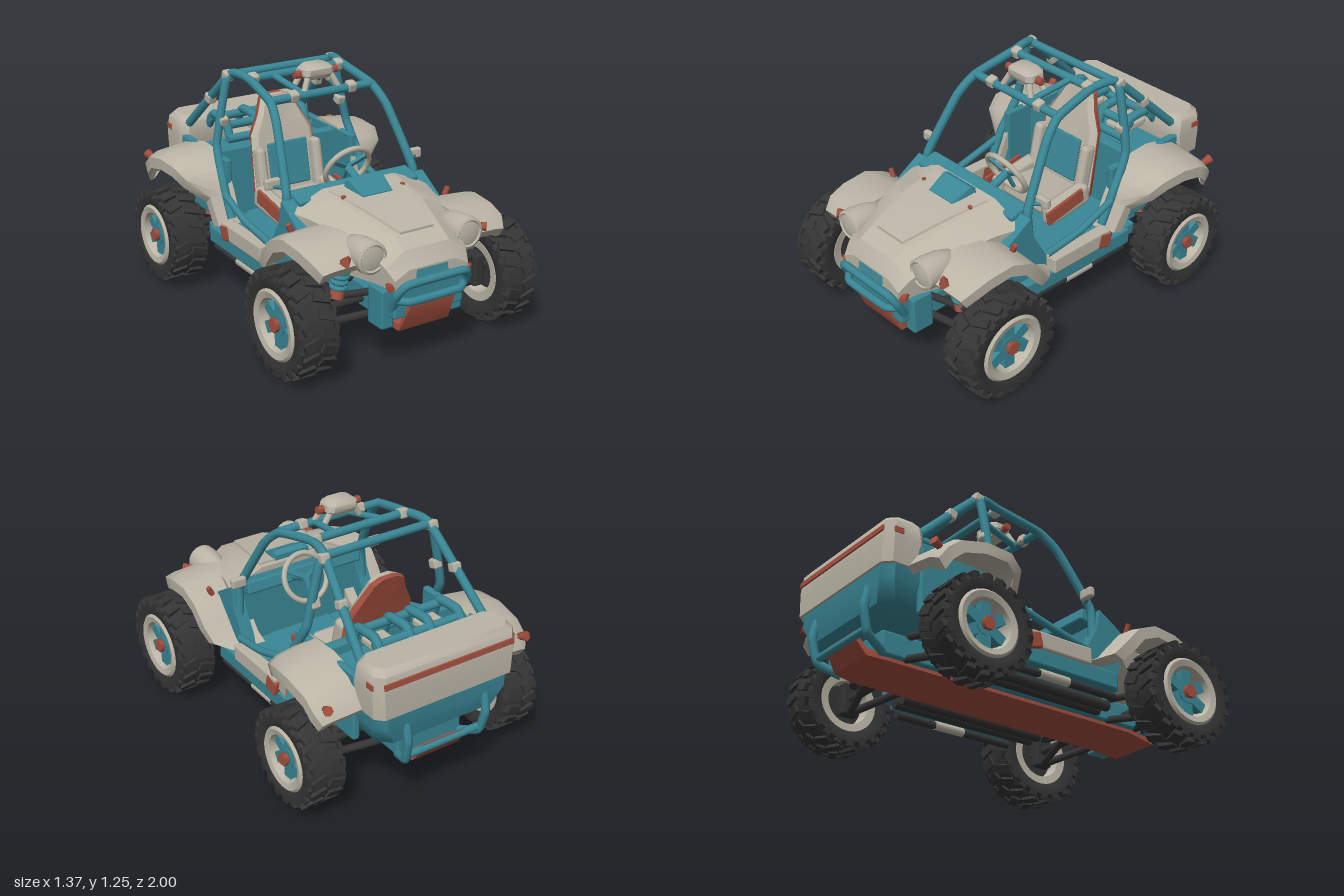
import * as THREE from 'three';
import { mergeGeometries, toCreasedNormals } from 'three/addons/utils/BufferGeometryUtils.js';
import { RoundedBoxGeometry } from 'three/addons/geometries/RoundedBoxGeometry.js';

const paint = (name, hex) => { const m = new THREE.MeshStandardMaterial({ color: hex }); m.name = name; return m; };

export function createModel() {
  const cream = paint('cream', 0xbbb5a6), teal = paint('teal', 0x3a8796);
  const red = paint('red', 0xa4503f), dark = paint('dark', 0x353535);
  const model = new THREE.Group();
  model.name = 'buggy';

  // ---- helpers ----
  const V = (p) => new THREE.Vector3(...p);
  const sides = (fn) => [1, -1].forEach(fn);
  const add = (name, geo, mat, pos = [0, 0, 0], rot = [0, 0, 0], parent = model) => {
    const m = new THREE.Mesh(geo, mat);
    m.name = name; m.position.set(...pos); m.rotation.set(...rot);
    parent.add(m);
    return m;
  };
  const box = (name, mat, size, pos, rot, r = 0.012) =>
    add(name, new RoundedBoxGeometry(...size, 1, Math.min(r, Math.min(...size) * 0.45)), mat, pos, rot);
  const tube = (name, mat, pts, r = 0.02) =>
    add(name, new THREE.TubeGeometry(new THREE.CatmullRomCurve3(pts.map(V), false, 'catmullrom', 0.2), pts.length * 7, r, 8), mat);
  const rod = (name, mat, a, b, r, r2 = r, n = 10) => {
    const A = V(a), B = V(b), m = add(name, new THREE.CylinderGeometry(r2, r, A.distanceTo(B), n), mat);
    m.position.copy(A).lerp(B, 0.5);
    m.quaternion.setFromUnitVectors(new THREE.Vector3(0, 1, 0), B.sub(A).normalize());
  };
  // Closed skin through equal-length rings of points, capped at both ends and turned outward
  const loft = (name, mat, rings, crease = 0.6) => {
    const n = rings[0].length, tris = [];
    const mid = (r) => r.reduce((s, p) => s.map((v, k) => v + p[k] / n), [0, 0, 0]);
    const last = rings[rings.length - 1], c0 = mid(rings[0]), c1 = mid(last);
    for (let j = 0; j < n; j++) {
      const k = (j + 1) % n;
      for (let i = 0; i < rings.length - 1; i++) {
        const a = rings[i], b = rings[i + 1];
        tris.push([a[j], b[j], b[k]], [a[j], b[k], a[k]]);
      }
      tris.push([c0, rings[0][j], rings[0][k]], [c1, last[k], last[j]]);
    }
    const volume = tris.reduce((s, [a, b, c]) => s + V(a).dot(V(b).cross(V(c))), 0);
    if (volume < 0) tris.forEach((t) => t.reverse());
    const g = new THREE.BufferGeometry();
    g.setAttribute('position', new THREE.Float32BufferAttribute(tris.flat(2), 3));
    return add(name, toCreasedNormals(g, crease), mat);
  };
  // Horizontal chamfered rectangle and upright mirrored section, used as loft rings
  const slab = ([y, hx, z0, z1, c]) => [[hx - c, y, z0], [hx, y, z0 + c], [hx, y, z1 - c], [hx - c, y, z1],
    [c - hx, y, z1], [-hx, y, z1 - c], [-hx, y, z0 + c], [c - hx, y, z0]];
  const frame = ([z, ...half]) => [...half.map(([x, y]) => [x, y, z]), ...half.map(([x, y]) => [-x, y, z]).reverse()];

  // ---- wheels ----
  const lathe = (pts, n) => toCreasedNormals(new THREE.LatheGeometry(pts.map((p) => new THREE.Vector2(...p)), n), 0.6).rotateZ(-Math.PI / 2);
  const tireGeo = lathe([[0.165, -0.085], [0.205, -0.1], [0.235, -0.1], [0.257, -0.075], [0.262, 0], [0.257, 0.075],
    [0.235, 0.1], [0.205, 0.1], [0.165, 0.085]], 36);
  const rimGeo = lathe([[0.118, 0], [0.125, -0.085], [0.17, -0.09], [0.175, 0], [0.18, 0.092], [0.167, 0.103],
    [0.135, 0.095], [0.124, 0.06], [0.118, 0]], 32);
  const blocks = [];
  for (let i = 0; i < 20; i++) sides((s) => {
    const a = ((i + (s > 0 ? 0 : 0.5)) / 20) * Math.PI * 2;
    blocks.push(new THREE.BoxGeometry(0.026, 0.085, 0.045).rotateX(s * 0.35).translate(0.262, s * 0.046, 0).rotateY(a),
      new THREE.BoxGeometry(0.04, 0.016, 0.04).translate(0.24, s * 0.094, 0).rotateY(a + 0.08));
  });
  const treadGeo = mergeGeometries(blocks).rotateZ(-Math.PI / 2);
  const wheel = (name, s, y, z, sy, sz) => {
    const g = new THREE.Group();
    g.name = name; g.position.set(s * 0.583, y, z);
    g.rotation.y = s > 0 ? 0 : Math.PI;
    g.scale.set(1, sy, sz);
    add('tire', tireGeo, dark, undefined, undefined, g);
    add('tread', treadGeo, dark, undefined, undefined, g);
    add('rim', rimGeo, cream, undefined, undefined, g);
    add('brakeDisc', new THREE.CylinderGeometry(0.122, 0.122, 0.03, 24).rotateZ(Math.PI / 2), dark, undefined, undefined, g);
    for (let i = 0; i < 6; i++)
      add('spoke', new THREE.BoxGeometry(0.04, 0.1, 0.06).translate(0.05, 0.075, 0), teal, undefined, [i * Math.PI / 3, 0, 0], g);
    add('hub', new THREE.CylinderGeometry(0.05, 0.06, 0.06, 12).rotateZ(Math.PI / 2), teal, [0.045, 0, 0], undefined, g);
    add('hubCap', new THREE.CylinderGeometry(0.034, 0.038, 0.03, 6).rotateZ(Math.PI / 2), red, [0.085, 0, 0], undefined, g);
    model.add(g);
  };
  sides((s) => { wheel('frontWheel', s, 0.27, 0.645, 0.97, 1.01); wheel('rearWheel', s, 0.276, -0.605, 0.91, 0.925); });

  // ---- chassis, skid plate and tub ----
  loft('skidPlate', red, [[0.955, 0.34, 0.13], [0.89, 0.2, 0.145], [0.7, 0.222, 0.16], [-0.8, 0.222, 0.16], [-0.9, 0.23, 0.14], [-0.955, 0.31, 0.12]]
    .map(([z, y, x]) => frame([z, [x, y], [x, y + 0.035]])));
  box('chassis', teal, [0.38, 0.12, 1.7], [0, 0.3, 0]);
  box('floor', teal, [0.86, 0.07, 0.85], [0, 0.32, -0.03]);
  box('bulkhead', teal, [0.76, 0.4, 0.06], [0, 0.53, -0.49]);
  box('firewall', teal, [0.76, 0.33, 0.07], [0, 0.495, 0.33]);
  box('dashboard', teal, [0.7, 0.07, 0.12], [0, 0.69, 0.29], [0.25, 0, 0]);
  sides((s) => {
    box('rocker', teal, [0.09, 0.09, 0.74], [s * 0.42, 0.32, -0.01]);
    box('sillPanel', cream, [0.07, 0.09, 0.4], [s * 0.445, 0.4, -0.02]);
    box('sillAccent', red, [0.075, 0.085, 0.09], [s * 0.446, 0.39, -0.18], [-0.25, 0, 0]);
    loft('cowlSide', teal, [0.35, 0.42].map((x) => [[0.5, 0.56], [0.42, 0.63], [0.29, 0.71], [0.27, 0.6], [0.19, 0.46], [0.15, 0.3], [0.38, 0.3], [0.42, 0.45]]
      .map(([z, y]) => [s * x, y, z])));
    tube('doorBar', teal, [[s * 0.43, 0.46, 0.19], [s * 0.44, 0.5, -0.03], [s * 0.43, 0.57, -0.26]], 0.019);
    rod('stepBar', dark, [s * 0.43, 0.245, 0.36], [s * 0.43, 0.245, -0.36], 0.02);
    rod('stepGrip', cream, [s * 0.43, 0.247, 0.06], [s * 0.43, 0.247, -0.12], 0.024);
    [0.24, 0.31].forEach((x) => rod('underPipe', dark, [s * x, 0.25, 0.42], [s * x, 0.25, -0.45], 0.028));
  });

  // ---- hood and nose ----
  loft('hood', cream, [[0.33, 0.21, 0.745, 0.4, 0.665, 0.4], [0.46, 0.2, 0.73, 0.36, 0.66, 0.35], [0.6, 0.19, 0.705, 0.33, 0.645, 0.31], [0.83, 0.13, 0.65, 0.25, 0.58, 0.23],
    [0.9, 0.13, 0.61, 0.23, 0.54, 0.22], [0.945, 0.13, 0.53, 0.21, 0.49, 0.2]]
    .map(([z, x1, y1, x2, y2, x3]) => frame([z, [x1, y1], [x2, y2], [x3, z < 0.5 ? 0.58 : 0.44]])), 0.4);
  loft('hoodPanel', cream, [[0.37, 0.21, 0.7, 0.748], [0.6, 0.16, 0.67, 0.717], [0.82, 0.105, 0.62, 0.665]]
    .map(([z, x, y0, y1]) => frame([z, [x, y0], [x - 0.012, y1]])), 0.4);
  loft('hoodScoop', teal, [[0.5, 0.095, 0.7, 0.735], [0.39, 0.11, 0.7, 0.785], [0.36, 0.11, 0.7, 0.77]]
    .map(([z, x, y0, y1]) => frame([z, [x, y0], [x - 0.01, y1]])), 0.4);
  box('grilleSlot', teal, [0.18, 0.05, 0.009], [0, 0.5, 0.945], [-0.2, 0, 0]);
  box('noseFrame', teal, [0.4, 0.17, 0.14], [0, 0.37, 0.86]);
  tube('frontBumper', teal, [[-0.19, 0.33, 0.9], [-0.2, 0.42, 0.95], [-0.16, 0.475, 0.98], [0.16, 0.475, 0.98], [0.2, 0.42, 0.95], [0.19, 0.33, 0.9]], 0.021);
  tube('lowerBumper', teal, [[-0.2, 0.39, 0.93], [-0.14, 0.385, 0.975], [0.14, 0.385, 0.975], [0.2, 0.39, 0.93]], 0.02);
  const podGeo = toCreasedNormals(new THREE.LatheGeometry([[0.01, 0], [0.055, 0.05], [0.075, 0.12], [0.082, 0.2], [0.08, 0.235], [0.067, 0.242], [0.06, 0.235], [0, 0.25]]
    .map((p) => new THREE.Vector2(...p)), 20), 0.6).rotateX(Math.PI / 2);
  sides((s) => {
    add('headlight', podGeo, cream, [s * 0.277, 0.59, 0.625]);
    box('frontTower', teal, [0.07, 0.2, 0.12], [s * 0.2, 0.32, 0.82]);
    rod('turnSignal', red, [s * 0.35, 0.585, 0.78], [s * 0.41, 0.585, 0.83], 0.014, 0.026, 6);
    rod('noseMarker', red, [s * 0.21, 0.46, 0.9], [s * 0.23, 0.455, 0.94], 0.018, 0.02, 6);
    rod('hoodPin', red, [s * 0.165, 0.7, 0.46], [s * 0.175, 0.742, 0.46], 0.014, 0.012, 6);
    rod('fenderPin', red, [s * 0.45, 0.61, 0.44], [s * 0.47, 0.655, 0.44], 0.016, 0.014, 6);
  });

  // ---- fenders: section swept over each wheel, rows are z, y, outer x ----
  const fender = (name, s, xi, cz, cy, drop, rows) => loft(name, cream, rows.map(([z, y, xo]) => {
    const d = Math.hypot(z - cz, y - cy), nz = (z - cz) / d, ny = (y - cy) / d;
    return [[xi, 0], [xo - 0.05, drop * 0.5], [xo, drop], [xo, drop + 0.06], [xo - 0.02, drop + 0.06], [xo - 0.05, 0.045 + drop * 0.5], [xi, 0.045]]
      .map(([x, t]) => [s * x, y - ny * t, z - nz * t]);
  }), 0.7);
  sides((s) => {
    fender('frontFender', s, 0.29, 0.645, 0.27, 0.025, [[0.84, 0.57, 0.52], [0.78, 0.62, 0.55], [0.68, 0.65, 0.56], [0.53, 0.66, 0.565],
      [0.41, 0.61, 0.565], [0.32, 0.51, 0.56], [0.25, 0.43, 0.54], [0.18, 0.4, 0.47]]);
    fender('rearFender', s, 0.37, -0.61, 0.28, 0.05, [[-0.2, 0.42, 0.475], [-0.27, 0.58, 0.49], [-0.33, 0.69, 0.6], [-0.42, 0.745, 0.63],
      [-0.58, 0.755, 0.635], [-0.74, 0.72, 0.63], [-0.82, 0.66, 0.625], [-0.86, 0.6, 0.6]]);
    rod('rearMarker', red, [s * 0.57, 0.63, -0.8], [s * 0.585, 0.65, -0.85], 0.016, 0.026, 6);
    box('rearInnerPanel', teal, [0.04, 0.36, 0.5], [s * 0.385, 0.56, -0.54]);
  });

  // ---- rear body ----
  loft('rearTub', teal, [[0.37, 0.28, -0.88, -0.72, 0.06], [0.42, 0.35, -0.95, -0.55, 0.06], [0.52, 0.39, -0.975, -0.5, 0.05], [0.68, 0.4, -0.97, -0.5, 0.05]].map(slab), 0.7);
  loft('trunk', cream, [[0.59, 0.405, -0.985, -0.79, 0.04], [0.72, 0.412, -0.985, -0.76, 0.04], [0.81, 0.405, -0.975, -0.77, 0.04], [0.84, 0.38, -0.95, -0.79, 0.04]].map(slab), 0.7);
  box('trunkStripe', red, [0.75, 0.03, 0.009], [0, 0.765, -0.984], [0.08, 0, 0], 0.002);
  sides((s) => {
    box('sideStripe', red, [0.009, 0.03, 0.05], [s * 0.41, 0.755, -0.92], [0, 0, 0], 0.002);
    box('deckPanel', cream, [0.13, 0.04, 0.18], [s * 0.15, 0.76, -0.66]);
    [0.06, 0.24].forEach((x) => tube('deckRail', teal, [[s * x, 0.74, -0.54], [s * x, 0.84, -0.58], [s * x, 0.85, -0.72], [s * x, 0.76, -0.79]], 0.024));
    tube('rearGuard', teal, [[s * 0.23, 0.52, -0.96], [s * 0.23, 0.42, -0.98], [s * 0.22, 0.3, -0.95], [s * 0.18, 0.25, -0.84]], 0.022);
  });
  [[-0.53, 0.76], [-0.58, 0.82], [-0.74, 0.82]].forEach(([z, y]) => rod('deckBar', teal, [-0.26, y, z], [0.26, y, z], 0.023));
  rod('rearGuardBar', teal, [-0.22, 0.32, -0.95], [0.22, 0.32, -0.95], 0.02);

  // ---- roll cage ----
  sides((s) => {
    tube('cageRail', teal, [[s * 0.39, 0.5, 0.26], [s * 0.375, 0.72, 0.27], [s * 0.325, 1.02, 0.1], [s * 0.3, 1.11, 0], [s * 0.28, 1.165, -0.25], [s * 0.305, 1.16, -0.4], [s * 0.36, 0.8, -0.78]], 0.023);
    tube('mainHoop', teal, [[s * 0.42, 0.45, -0.21], [s * 0.42, 0.62, -0.29], [s * 0.4, 0.8, -0.39], [s * 0.33, 1.13, -0.4], [s * 0.28, 1.155, -0.4]], 0.023);
    [[0.36, 0.92, -0.395], [0.315, 1.15, -0.41], [0.255, 1.165, -0.25], [0.17, 1.12, 0], [0.33, 0.99, -0.58]]
      .forEach((p) => box('clamp', cream, [0.052, 0.052, 0.055], [s * p[0], p[1], p[2]], [0.3, 0, 0]));
    rod('mirrorStem', teal, [s * 0.36, 0.75, 0.24], [s * 0.44, 0.77, 0.21], 0.012);
    box('mirror', cream, [0.085, 0.055, 0.035], [s * 0.42, 0.775, 0.21]);
  });
  [[0.3, 1.115, 0], [0.28, 1.165, -0.25], [0.31, 1.155, -0.4]]
    .forEach(([x, y, z]) => rod('cageCrossbar', teal, [-x, y, z], [x, y, z], 0.022));
  // Roof lamp
  loft('roofLamp', cream, [[1.18, 0.07, -0.12, -0.02, 0.02], [1.2, 0.09, -0.13, -0.01, 0.025], [1.23, 0.085, -0.13, -0.01, 0.025], [1.25, 0.06, -0.115, -0.03, 0.02]].map(slab), 0.7);
  sides((s) => {
    rod('lampCap', red, [s * 0.08, 1.205, -0.065], [s * 0.125, 1.205, -0.065], 0.02, 0.02, 6);
    [-0.01, -0.1].forEach((z) => rod('lampPost', cream, [s * 0.1, 1.125 - z * 0.2, z], [s * 0.07, 1.19, z * 0.8 - 0.02], 0.016));
    rod('lampStay', teal, [s * 0.1, 1.115, 0], [s * 0.14, 1.165, -0.25], 0.017);
  });

  // ---- seat and steering ----
  box('seatCushion', cream, [0.32, 0.1, 0.28], [0, 0.47, -0.19], [-0.12, 0, 0], 0.03);
  const backPts = (z, g) => {
    const half = [[0.2, 0.45, 0], [0.185, 0.8, -0.07], [0.125, 0.9, -0.1], [0.09, 0.975, -0.13], [0.04, 0.995, -0.13]];
    return [...half, ...half.map(([x, y, o]) => [-x, y, o]).reverse()].map(([x, y, o]) => [x * g, y, o + z]);
  };
  loft('seatBack', cream, [backPts(-0.31, 0.85), backPts(-0.34, 1)]);
  loft('seatShell', red, [backPts(-0.34, 1.03), backPts(-0.375, 0.94)]);
  box('seatPad', teal, [0.24, 0.24, 0.02], [0, 0.64, -0.332], [-0.2, 0, 0]);
  sides((s) => {
    box('seatBolster', cream, [0.08, 0.12, 0.3], [s * 0.19, 0.48, -0.18], [0.12, 0, 0], 0.03);
    box('seatSide', red, [0.016, 0.08, 0.26], [s * 0.235, 0.5, -0.13], [0.18, 0, 0]);
    box('backBolster', cream, [0.06, 0.28, 0.08], [s * 0.17, 0.61, -0.33], [-0.2, 0, 0], 0.03);
  });
  const steering = new THREE.Group();
  steering.name = 'steeringWheel';
  steering.position.set(0.07, 0.74, 0.125); steering.rotation.x = 0.46;
  add('steeringRim', new THREE.TorusGeometry(0.125, 0.015, 8, 28), cream, undefined, undefined, steering);
  for (let i = 0; i < 3; i++)
    add('steeringSpoke', new THREE.BoxGeometry(0.022, 0.12, 0.015).translate(0, 0.06, 0), teal, undefined, [0, 0, Math.PI / 3 + i * Math.PI * 2 / 3], steering);
  model.add(steering);
  rod('steeringColumn', teal, [0.07, 0.74, 0.125], [0.07, 0.67, 0.3], 0.022);

  // ---- suspension ----
  sides((s) => [0.645, -0.605].forEach((z) => {
    rod('axle', dark, [s * 0.15, 0.29, z], [s * 0.56, 0.28, z], 0.022);
    box('wheelCarrier', dark, [0.06, 0.17, 0.1], [s * 0.49, 0.28, z]);
    [-0.1, 0.1].forEach((d) => {
      rod('lowerArm', dark, [s * 0.17, 0.25, z + d], [s * 0.48, 0.21, z], 0.02);
      rod('upperArm', dark, [s * 0.17, 0.36, z + d], [s * 0.48, 0.35, z], 0.018);
    });
    const a = V([s * 0.36, 0.34, z + 0.04]), b = V([s * 0.28, 0.58, z]);
    rod('shockBody', teal, a.toArray(), b.toArray(), 0.026);
    rod('shockFoot', red, a.toArray(), a.clone().lerp(b, 0.2).toArray(), 0.036);
    rod('shockCap', red, a.clone().lerp(b, 0.6).toArray(), a.clone().lerp(b, 0.78).toArray(), 0.042);
    const coil = Array.from({ length: 33 }, (_, i) => a.clone().lerp(b, 0.2 + i * 0.0125)
      .add(V([Math.cos(i * 0.785) * 0.036, 0, Math.sin(i * 0.785) * 0.036])).toArray());
    tube('shockSpring', teal, coil, 0.011);
  }));
  return model;
}
